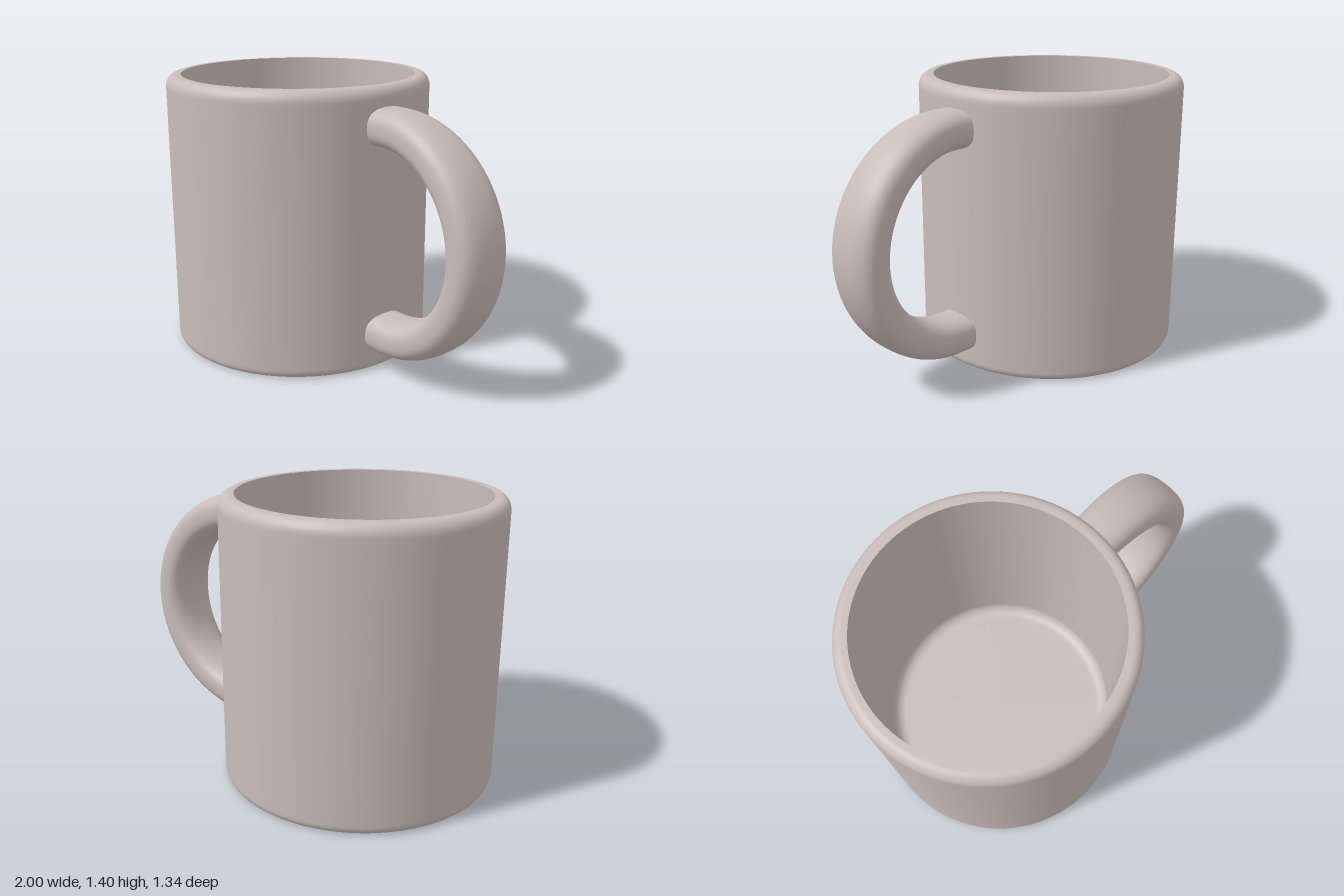
import * as THREE from 'three';

const CX = -0.33, R = 0.67, INNER = 0.595, H = 1.4;

// Points along a quarter (or other) elliptical arc
function arc(cx, cy, rx, ry, from, to, n = 8) {
  return Array.from({ length: n + 1 }, (_, i) => {
    const a = THREE.MathUtils.degToRad(from + (to - from) * i / n);
    return new THREE.Vector2(cx + rx * Math.cos(a), cy + ry * Math.sin(a));
  });
}

// Superellipse section swept along a straight-arc-straight handle path
function handleGeometry() {
  const cx = 0.39, cy = 0.7, r = 0.513, half = 0.093, start = 0.28;
  const rings = 56, sides = 40, positions = [], indices = [];
  const spow = v => Math.sign(v) * Math.pow(Math.abs(v), 2 / 2.6);
  for (let i = 0; i <= rings; i++) {
    const t = Math.min(Math.max((i - 2) / (rings - 4), 0), 1);
    const a = Math.PI * (0.5 - t);
    const lead = Math.max(2 - i, i - (rings - 2), 0) / 2 * (cx - start);
    const wide = 0.122 + 0.025 * Math.pow(Math.cos(a), 0.8 + 0.2);
    for (let j = 0; j < sides; j++) {
      const b = j / sides * Math.PI * 2;
      const d = r + half * spow(Math.cos(b));
      positions.push(cx - lead + d * Math.cos(a), cy + d * Math.sin(a), wide * spow(Math.sin(b)));
      if (i < rings) {
        const k = (j + 1) % sides;
        const p = i * sides + j, q = i * sides + k;
        indices.push(p, p + sides, q, q, p + sides, q + sides);
      }
    }
  }
  const g = new THREE.BufferGeometry();
  g.setAttribute('position', new THREE.Float32BufferAttribute(positions, 3));
  g.setIndex(indices);
  g.computeVertexNormals();
  return g;
}

export function createModel() {
  const model = new THREE.Group();
  model.name = 'mug';
  const ceramic = new THREE.MeshStandardMaterial({ color: 0xc8bcba, side: THREE.DoubleSide });
  ceramic.name = 'warm grey ceramic';

  const add = (name, geometry, x = 0) => {
    const mesh = new THREE.Mesh(geometry, ceramic);
    mesh.name = name;
    mesh.position.x = x;
    model.add(mesh);
  };
  const lathe = (name, points) => add(name, new THREE.LatheGeometry(points, 96), CX);
  const v = (x, y) => new THREE.Vector2(x, y);

  // Outer wall with rounded foot and rounded lip
  lathe('outerWall', [
    ...arc(0.642, 0.04, 0.028, 0.04, -90, 0), v(R, 0.06), v(R, H - 0.08),
    ...arc(R - 0.05, H - 0.06, 0.05, 0.06, 0, 90), v(INNER, H),
  ]);

  // Inside wall, curving into the floor
  lathe('inside', [
    v(INNER, H), v(INNER, H - 0.02), v(INNER, 0.18),
    ...arc(INNER - 0.06, 0.16, 0.06, 0.06, 0, -90), v(0.5, 0.1), v(0, 0.1),
  ]);

  // Shallow recess under the foot
  lathe('footRing', [v(0.618, 0.04), ...arc(0.642, 0.024, 0.024, 0.024, 180, 270)]);
  lathe('underside', [v(0, 0.04), v(0.618, 0.04)]);

  // Handle
  add('handle', handleGeometry());
  return model;
}
